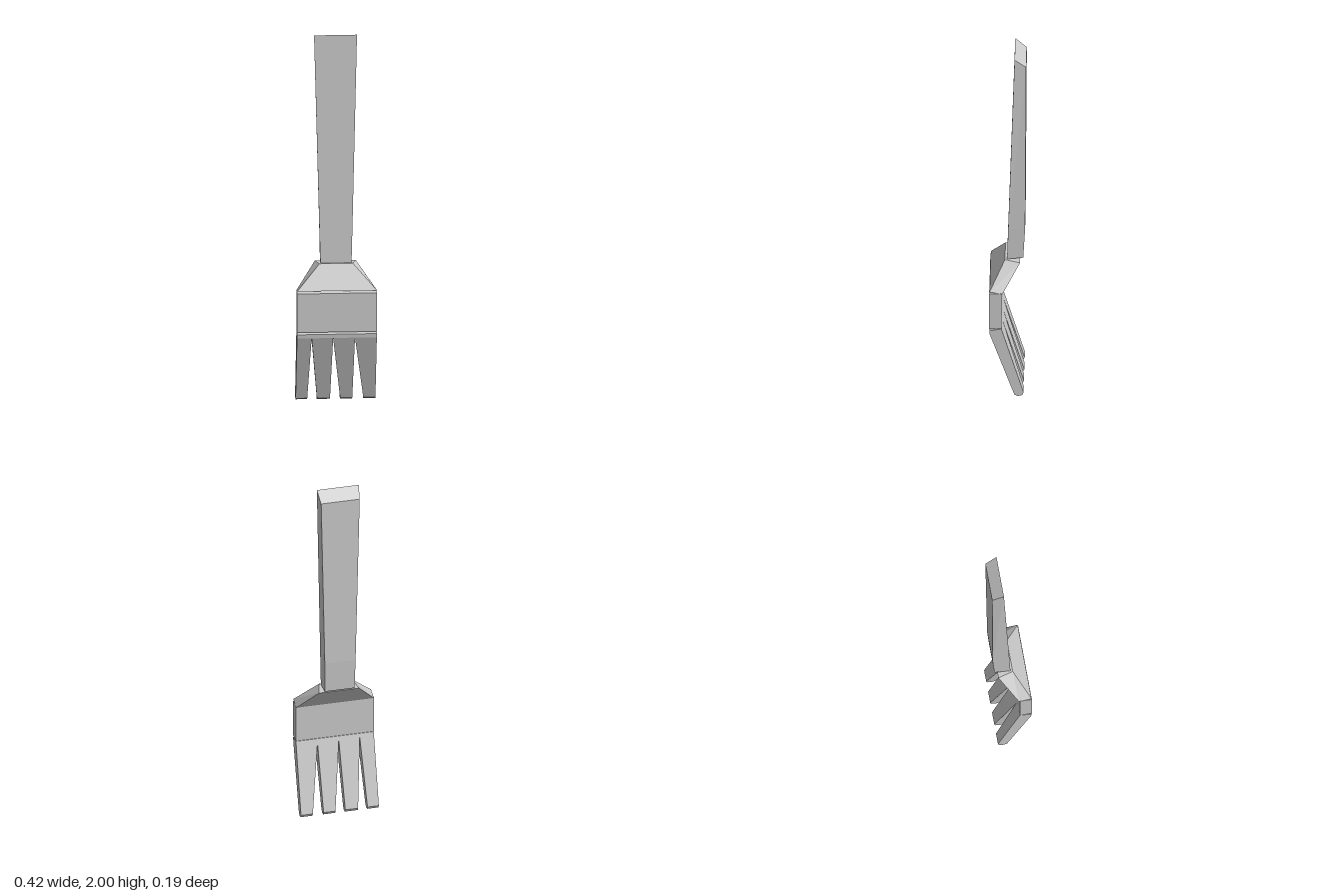
import * as THREE from 'three';

const material = new THREE.MeshStandardMaterial({ color: 0xcccccc, flatShading: true });

// Skin through four-cornered sections, listed from top to bottom.
// Each section: front edge [y, z, xMin, xMax], back edge [y, z, xMin, xMax]
function loft(name, sections) {
  const pos = [];
  const idx = [];
  for (const [f, b] of sections) {
    pos.push(f[2], f[0], f[1], f[3], f[0], f[1], b[3], b[0], b[1], b[2], b[0], b[1]);
  }
  const n = sections.length;
  for (let s = 0; s < n - 1; s++) {
    for (let i = 0; i < 4; i++) {
      const a = s * 4 + i, b = s * 4 + (i + 1) % 4;
      idx.push(a, a + 4, b, b, a + 4, b + 4);
    }
  }
  const e = (n - 1) * 4;
  idx.push(0, 1, 2, 0, 2, 3, e, e + 2, e + 1, e, e + 3, e + 2);
  const geometry = new THREE.BufferGeometry();
  geometry.setAttribute('position', new THREE.Float32BufferAttribute(pos, 3));
  geometry.setIndex(idx);
  const flat = geometry.toNonIndexed();
  flat.computeVertexNormals();
  const mesh = new THREE.Mesh(flat, material);
  mesh.name = name;
  return mesh;
}

// Edge centred on x = 0
const edge = (y, z, half) => [y, z, -half, half];

export function createModel() {
  const group = new THREE.Group();
  group.name = 'fork';

  // Tapered handle with a slanted top end
  group.add(loft('handle', [
    [edge(2.0, -0.035, 0.113), edge(1.95, -0.096, 0.104)],
    [edge(0.95, -0.001, 0.087), edge(0.95, -0.09, 0.083)],
    [edge(0.762, 0.005, 0.082), edge(0.77, -0.08, 0.08)],
  ]));

  // Flared neck, leaning forward into the head
  group.add(loft('neck', [
    [edge(0.762, 0.016, 0.088), edge(0.755, -0.064, 0.108)],
    [edge(0.635, 0.095, 0.21), edge(0.622, 0.028, 0.21)],
  ]));

  // Flat upright head
  group.add(loft('head', [
    [edge(0.622, 0.097, 0.21), edge(0.626, 0.033, 0.21)],
    [edge(0.41, 0.097, 0.21), edge(0.412, 0.033, 0.21)],
  ]));

  // Four tines, touching at the head and narrowing towards the tips
  const roots = [-0.21, -0.133, -0.02, 0.095, 0.21];
  const tips = [[-0.21, -0.149], [-0.098, -0.029], [0.024, 0.088], [0.146, 0.21]];
  tips.forEach(([t0, t1], i) => {
    const r0 = roots[i], r1 = roots[i + 1];
    group.add(loft('tine' + (i + 1), [
      [[0.398, 0.096, r0, r1], [0.41, 0.033, r0, r1]],
      [[0.377, 0.094, r0, r1], [0.39, 0.027, r0, r1]],
      [[0.01, -0.035, t0, t1], [0.022, -0.084, t0, t1]],
      [[0.0, -0.052, t0, t1], [0.006, -0.076, t0, t1]],
    ]));
  });

  return group;
}
